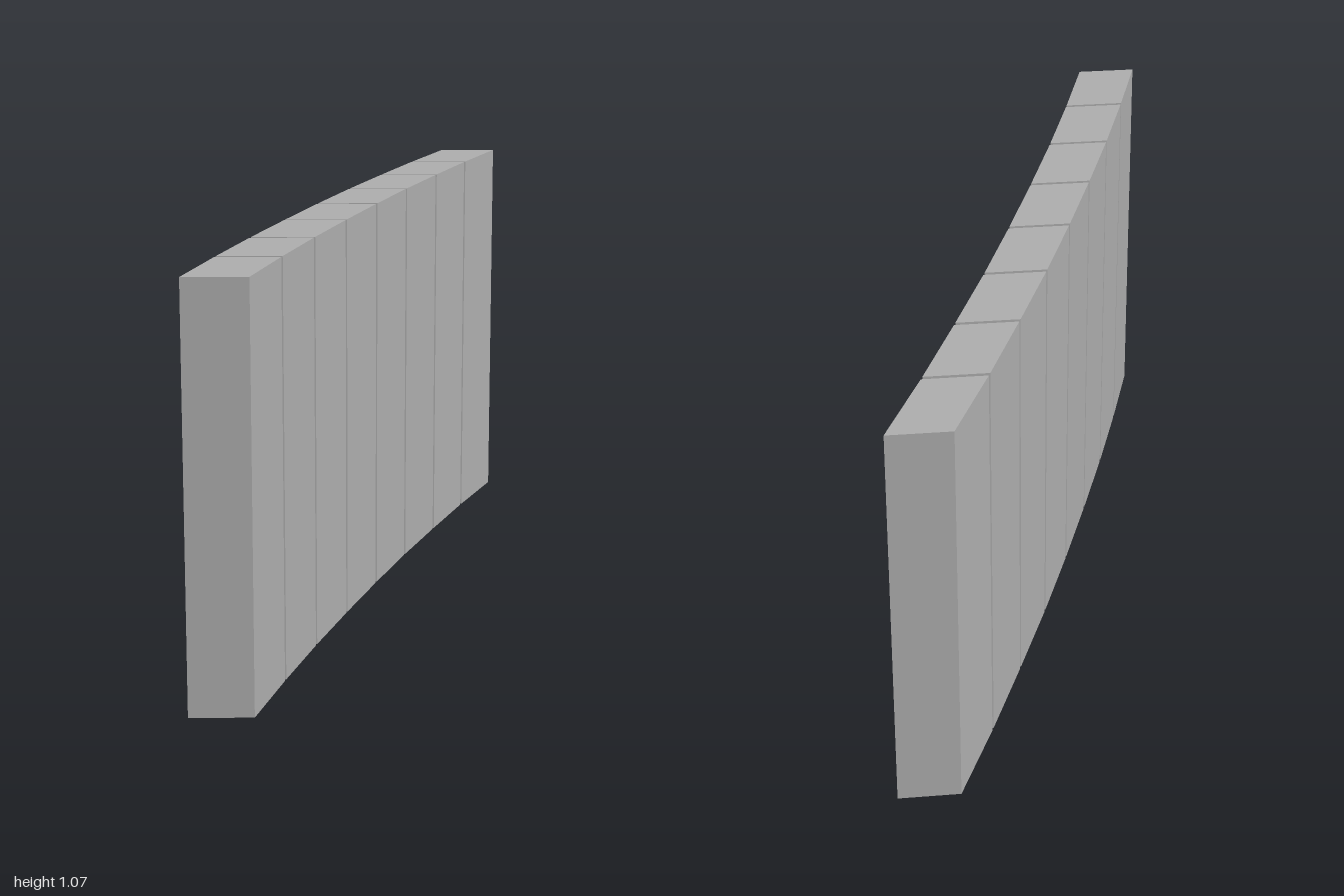
import * as THREE from 'three';

export function createModel() {
  const group = new THREE.Group();
  group.name = 'curvedWall';
  const stone = new THREE.MeshStandardMaterial({ color: 0xb0b0b0 });
  stone.name = 'grey stone';
  stone.flatShading = true;

  const height = 1.065, width = 0.158, skew = 0.013, gap = 0.011;

  // [x, z] of the seams along the left (+x) face, front to back
  const seams = [
    [-0.187, 0.987], [-0.137, 0.743], [-0.081, 0.493], [-0.02, 0.243], [0.044, -0.006],
    [0.112, -0.255], [0.186, -0.505], [0.263, -0.755], [0.345, -1],
  ];
  const last = seams.length - 2;

  // Slanted upright blocks, parted by narrow open joints
  for (let i = 0; i <= last; i++) {
    const [x0, z0] = seams[i], [x1, z1] = seams[i + 1];
    const slope = (x1 - x0) / (z1 - z0);
    const zf = z0 - (i > 0 ? gap / 2 : 0);
    const zb = z1 + (i < last ? gap / 2 : 0);
    const xAt = (z) => x0 + (z - z0) * slope;

    const geometry = new THREE.BoxGeometry(1, height, 1);
    const p = geometry.attributes.position;
    for (let v = 0; v < p.count; v++) {
      const z = p.getZ(v) > 0 ? zf : zb;
      const right = p.getX(v) < 0;
      p.setX(v, xAt(z) - (right ? width : 0));
      p.setZ(v, z + (right ? skew : 0));
    }
    geometry.translate(0, height / 2, 0);
    geometry.computeVertexNormals();

    const block = new THREE.Mesh(geometry, stone);
    block.name = `wallBlock${i + 1}`;
    group.add(block);
  }
  return group;
}
